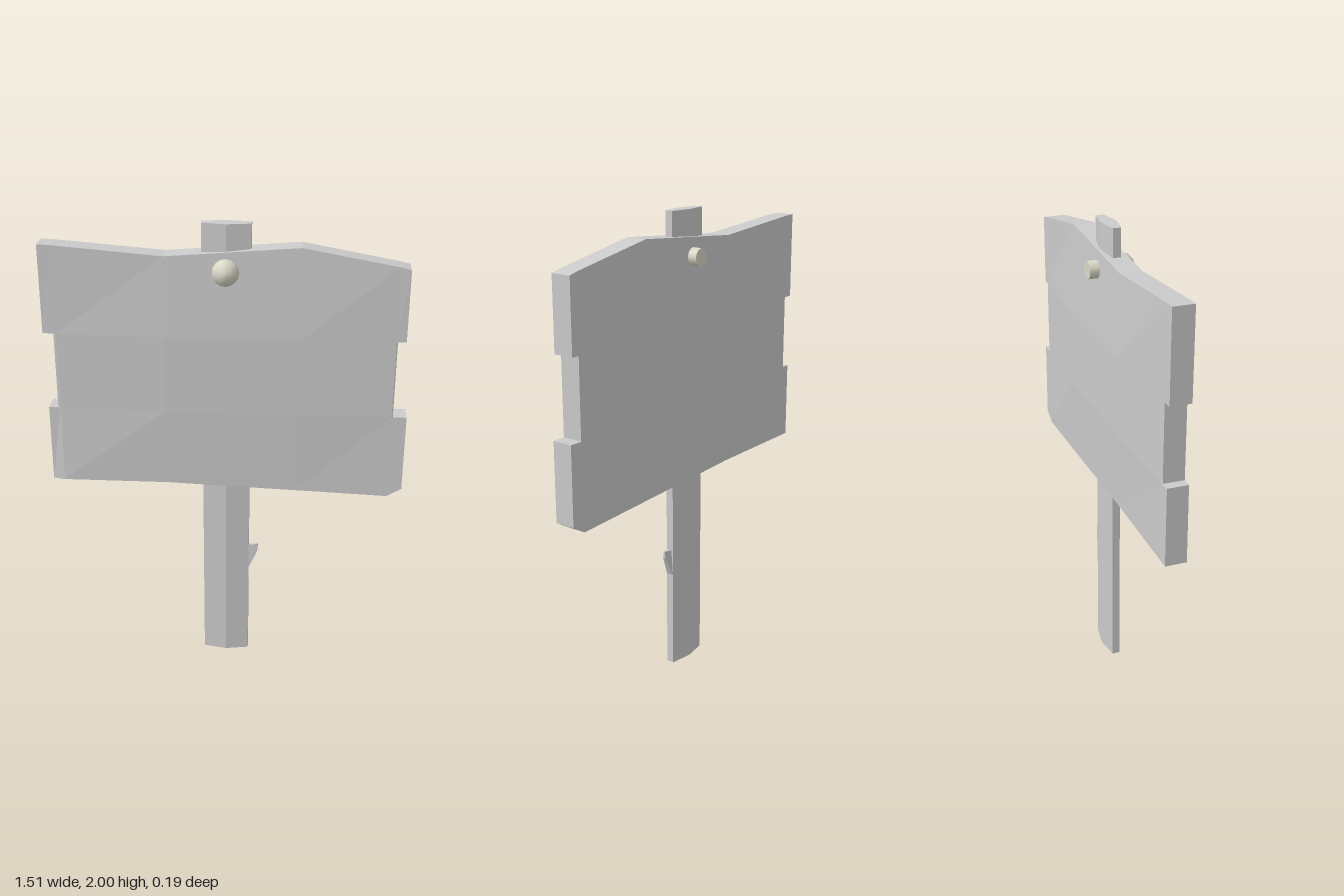
import * as THREE from 'three';
import { ConvexGeometry } from 'three/addons/geometries/ConvexGeometry.js';

const wood = new THREE.MeshStandardMaterial({ color: 0xcccccc, flatShading: true });
const metal = new THREE.MeshStandardMaterial({ color: 0xd9d8c8 });

function part(name, geometry, material) {
  const mesh = new THREE.Mesh(geometry, material);
  mesh.name = name;
  return mesh;
}

// Bowed board: three strips of planking that share their inner columns
function boardGeometry() {
  const inner = [-0.7, -0.25, 0.3, 0.69];
  const strips = [[-0.755, 0.73], [-0.71, 0.695], [-0.75, 0.752]]; // outer x, top to bottom
  const rowY = [
    [1.907, 1.905, 1.87, 1.915, 1.845, 1.835],
    [1.535, 1.535, 1.535, 1.535, 1.535, 1.535],
    [1.205, 1.205, 1.205, 1.205, 1.205, 1.205],
    [0.87, 0.87, 0.87, 0.85, 0.835, 0.872],
  ];
  const frontZ = [
    [0.036, 0.036, 0.038, 0.038, 0.036, 0.036],
    [0.036, 0.038, 0.053, 0.053, 0.038, 0.036],
    [0.036, 0.038, 0.053, 0.053, 0.038, 0.036],
    [0.038, 0.05, 0.045, 0.04, 0.036, 0.036],
  ];
  const backZ = [
    [-0.052, -0.052, -0.054, -0.054, -0.052, -0.052],
    [-0.052, -0.054, -0.067, -0.067, -0.054, -0.052],
    [-0.052, -0.054, -0.067, -0.067, -0.054, -0.052],
    [-0.052, -0.052, -0.054, -0.054, -0.052, -0.052],
  ];
  const positions = [];
  const quad = (a, b, c, d) => [a, b, c, a, c, d].forEach((p) => positions.push(...p));
  const point = (s, row, col, z) => {
    const x = col === 0 ? strips[s][0] : col === 5 ? strips[s][1] : inner[col - 1];
    return [x, rowY[row][col], z[row][col]];
  };
  for (let s = 0; s < 3; s++) {
    const F = (row, col) => point(s, row, col, frontZ);
    const B = (row, col) => point(s, row, col, backZ);
    const t = s, b = s + 1;
    for (let c = 0; c < 5; c++) {
      quad(F(b, c), F(b, c + 1), F(t, c + 1), F(t, c));
      quad(B(b, c + 1), B(b, c), B(t, c), B(t, c + 1));
      if (s === 0) quad(F(t, c), F(t, c + 1), B(t, c + 1), B(t, c));
      if (s === 2) quad(B(b, c), B(b, c + 1), F(b, c + 1), F(b, c));
    }
    quad(B(b, 0), F(b, 0), F(t, 0), B(t, 0));
    quad(F(b, 5), B(b, 5), B(t, 5), F(t, 5));
  }
  // Ledges of the notches in both sides
  const ledge = (x0, x1, y, up) => {
    const f = 0.036, k = -0.052;
    const p = [[x0, y, f], [x1, y, f], [x1, y, k], [x0, y, k]];
    quad(...(up ? p : p.reverse()));
  };
  ledge(strips[0][0], strips[1][0], 1.535, false);
  ledge(strips[1][1], strips[0][1], 1.535, false);
  ledge(strips[2][0], strips[1][0], 1.205, true);
  ledge(strips[1][1], strips[2][1], 1.205, true);

  const geometry = new THREE.BufferGeometry();
  geometry.setAttribute('position', new THREE.Float32BufferAttribute(positions, 3));
  geometry.computeVertexNormals();
  return geometry;
}

// Six-sided post, extruded upward
function postGeometry() {
  const outline = [[-0.1, 0.025], [-0.1, -0.008], [0, -0.027], [0.1, -0.008], [0.1, 0.025], [0, 0.041]];
  const shape = new THREE.Shape(outline.map(([x, y]) => new THREE.Vector2(x, y)));
  return new THREE.ExtrudeGeometry(shape, { depth: 2, bevelEnabled: false }).rotateX(-Math.PI / 2);
}

// Splinter that narrows away from the post's edge
function splinterGeometry() {
  const profile = [[0.1, 0.43, 0.0165], [0.14, 0.52, 0.006], [0.14, 0.55, 0.004], [0.1, 0.545, 0.008]];
  const points = profile.flatMap(([x, y, w]) =>
    [-w, w].map((z) => new THREE.Vector3(x, y, z - 0.0085)));
  return new ConvexGeometry(points);
}

export function createModel() {
  const group = new THREE.Group();
  group.name = 'signpost';
  group.add(part('board', boardGeometry(), wood));
  group.add(part('post', postGeometry(), wood));
  group.add(part('splinter', splinterGeometry(), wood));

  // Bolt through board and post
  const bolt = new THREE.Group();
  bolt.name = 'bolt';
  bolt.position.y = 1.812;
  const dome = [[0, 0.035], [0.053, 0.035], [0.055, 0.05], [0.05, 0.074], [0.027, 0.094], [0, 0.098]];
  const head = new THREE.LatheGeometry(dome.map(([r, z]) => new THREE.Vector2(r, z)), 16);
  bolt.add(part('boltHead', head.rotateX(Math.PI / 2), metal));
  const shaft = new THREE.CylinderGeometry(0.037, 0.037, 0.145, 12);
  const shaftMesh = part('boltShaft', shaft.rotateX(Math.PI / 2), metal);
  shaftMesh.position.z = -0.0245;
  bolt.add(shaftMesh);
  group.add(bolt);
  return group;
}
